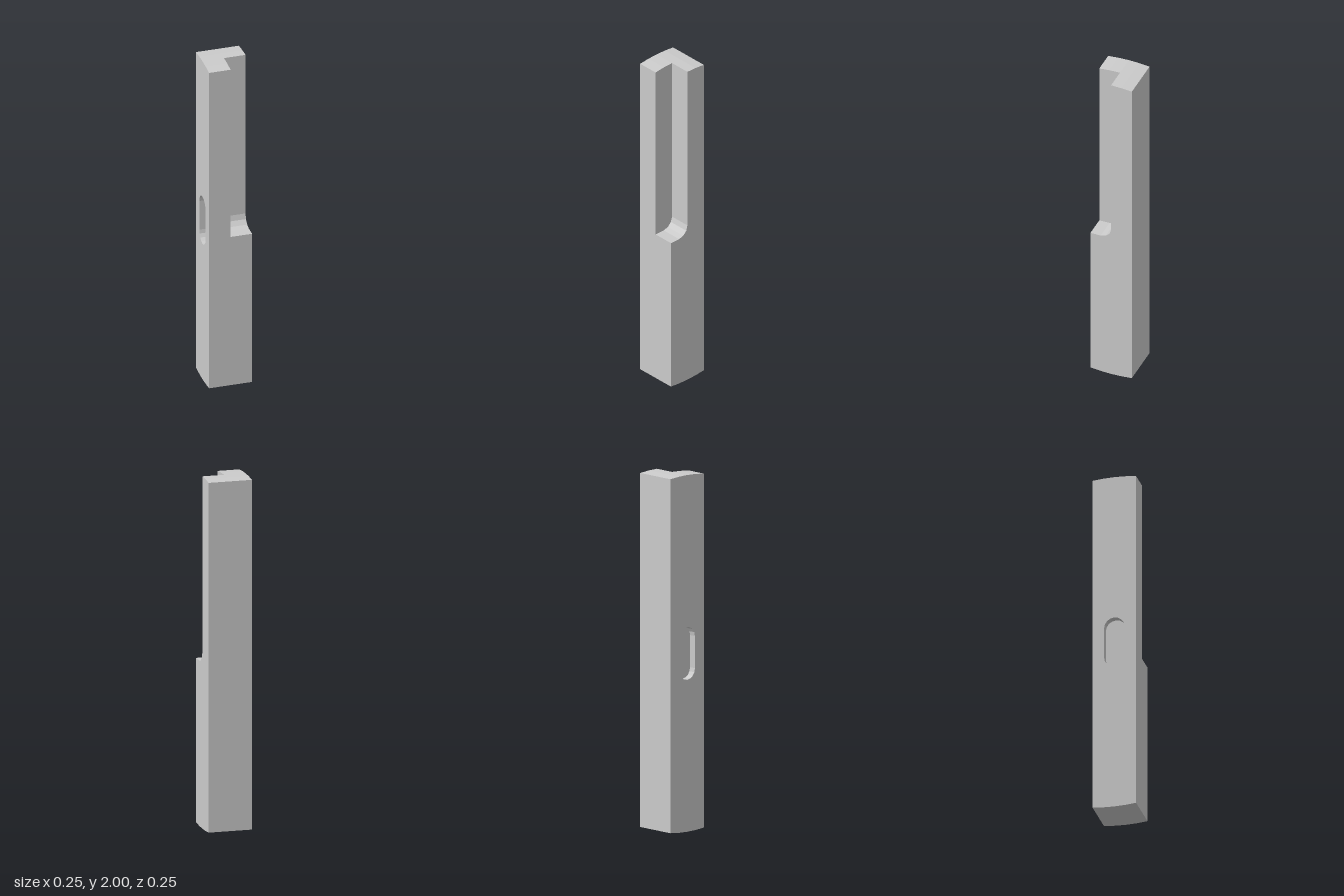
import * as THREE from 'three';
import { mergeGeometries } from 'three/addons/utils/BufferGeometryUtils.js';

const H = 0.124;            // half width of the square bar
const R = 0.0625;           // fillet radius of the notch
const FLOOR = 0.94;         // notch floor height
const SLOT = { r: 0.058, half: 0.148, depth: 0.04 };

// Flat cap in a plane of constant x; points are [z, y], dir is the facing (+1 or -1)
function face(points, x, dir, hole) {
  const flat = (list) => list.map(([z, y]) => new THREE.Vector2(-dir * z, y));
  const shape = new THREE.Shape(flat(points));
  if (hole) shape.holes.push(new THREE.Path(flat(hole)));
  const g = new THREE.ShapeGeometry(shape).toNonIndexed();
  g.deleteAttribute('uv');
  return g.rotateY(dir * Math.PI / 2).translate(x, 0, 0);
}

// Walls along a closed loop of [z, y] points, from x0 to x1
function walls(points, x0, x1) {
  const pos = [];
  points.forEach(([z, y], i) => {
    const [z2, y2] = points[(i + 1) % points.length];
    pos.push(x0, y, z, x0, y2, z2, x1, y2, z2);
    pos.push(x0, y, z, x1, y2, z2, x1, y, z);
  });
  const g = new THREE.BufferGeometry();
  g.setAttribute('position', new THREE.Float32BufferAttribute(pos, 3));
  g.computeVertexNormals();
  return g;
}

// Gently bowed bar end, an arc about the middle of the bar
function endArc(zFrom, zTo, sign, n) {
  return Array.from({ length: n + 1 }, (_, i) => {
    const z = zFrom + (zTo - zFrom) * i / n;
    return [z, 1 + sign * Math.sqrt(1 - z * z)];
  });
}

export function createModel() {
  const bottom = endArc(H, -H, -1, 4);
  const topBack = endArc(-H, 0, 1, 2);
  const topFront = endArc(0, H, 1, 2);

  // Concave fillet from the notch's back wall down to its floor
  const notch = [];
  for (let i = 0; i <= 3; i++) {
    const a = i * Math.PI / 6;
    notch.push([R - R * Math.cos(a), FLOOR + R - R * Math.sin(a)]);
  }
  notch.push([H, FLOOR]);

  // Rounded slot outline, counter-clockwise so its walls face inward
  const slot = [];
  for (const s of [1, -1]) {
    for (let i = 0; i <= 8; i++) {
      const a = i * Math.PI / 8 + (s < 0 ? Math.PI : 0);
      slot.push([SLOT.r * Math.cos(a), 1 + s * (SLOT.half - SLOT.r) + SLOT.r * Math.sin(a)]);
    }
  }

  const full = [...bottom, ...topBack, ...topFront.slice(1)];
  const notched = [...bottom, ...topBack, ...notch];
  const notchWall = [...topFront, ...[...notch].reverse()];

  const geometry = mergeGeometries([
    walls(full, -H, 0),                   // full-section half
    walls(notched, 0, H),                 // notched half
    face(full, -H, -1, slot),             // side with the slot
    walls(slot, -H, -H + SLOT.depth),     // slot sides
    face(slot, -H + SLOT.depth, -1),      // slot floor
    face(notchWall, 0, 1),                // side wall of the notch
    face(notched, H, 1),                  // open side of the notch
  ]);

  const bar = new THREE.Mesh(
    geometry,
    new THREE.MeshStandardMaterial({ color: 0xcccccc, flatShading: true })
  );
  bar.name = 'notchedBar';

  const group = new THREE.Group();
  group.name = 'notchedPost';
  group.add(bar);
  return group;
}
